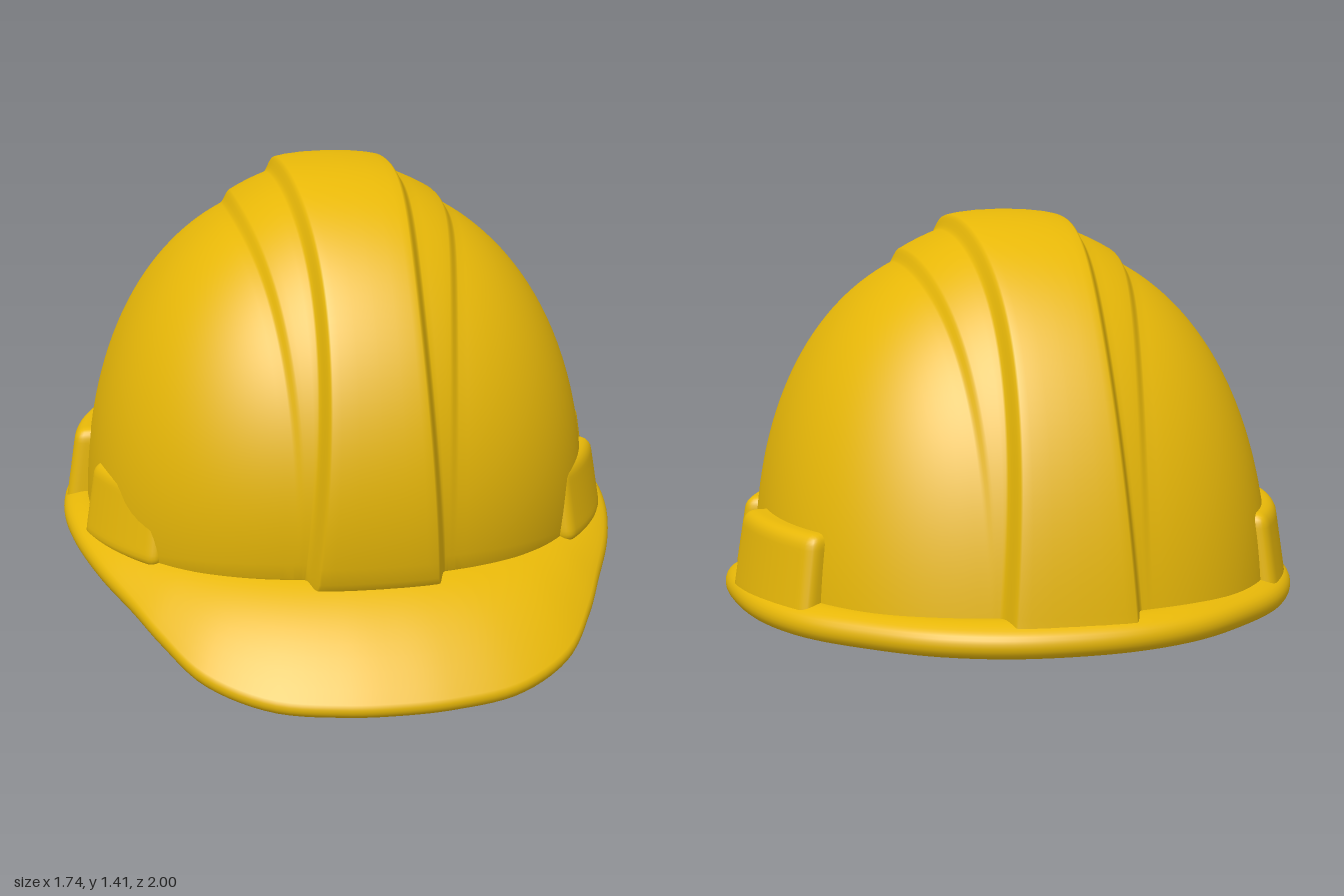
import * as THREE from 'three';
import { mergeVertices } from 'three/addons/utils/BufferGeometryUtils.js';

const { sin, cos, abs, pow, exp, min, max, sign, PI } = Math;
const lerp = THREE.MathUtils.lerp;
const CZ = -0.12; // shell centre in z

// Smooth surface from a rule giving the point at column i, row j
function grid(ni, nj, point) {
  const pos = [], idx = [];
  for (let i = 0; i <= ni; i++) for (let j = 0; j <= nj; j++) pos.push(...point(i, j));
  for (let i = 0; i < ni; i++) for (let j = 0; j < nj; j++) {
    const a = i * (nj + 1) + j, b = a + nj + 1;
    idx.push(a, b, b + 1, a, b + 1, a + 1);
  }
  let g = new THREE.BufferGeometry();
  g.setAttribute('position', new THREE.Float32BufferAttribute(pos, 3));
  g.setIndex(idx);
  g = mergeVertices(g, 1e-5);
  g.computeVertexNormals();
  return g;
}

// Half cross-section of the shell at arch angle t: [x, raise] from the centre outwards
function shellSection(t) {
  const s = max(0, sin(t));
  const edge = 0.145 + 0.04 * pow(s, 6) + 0.055 * pow(1 - s, 2); // centre ridge half width
  const ridge = 0.07 + 0.015 * s;
  const fade = pow(s, 1.2);
  const stepIn = 0.045 * fade, stepOut = 0.03 * fade;            // crescent side step
  const outer = edge + 0.03 + 0.11 * pow(s, 1.3);
  const cols = [[0, ridge], [edge * 0.4, ridge], [edge * 0.7, ridge], [edge - 0.025, ridge - 0.001]];
  for (let k = 1; k <= 6; k++) {
    const q = k / 6;
    cols.push([edge - 0.025 + 0.035 * q, lerp(ridge, stepIn, q * q * (3 - 2 * q))]);
  }
  for (const q of [0.25, 0.5, 0.75]) cols.push([lerp(edge + 0.01, outer - 0.015, q), lerp(stepIn, stepOut, q)]);
  for (let k = 0; k <= 5; k++) {
    const q = k / 5;
    cols.push([outer - 0.015 + 0.03 * q, stepOut * (1 - q * q * (3 - 2 * q))]);
  }
  const last = outer + 0.015;
  for (let k = 1; k <= 30; k++) cols.push([last + (0.785 - last) * sin((k / 30) * PI / 2), 0]);
  return cols;
}

function shellGeometry() {
  const NT = 90, half = shellSection(1).length - 1, NX = 2.28, NA = 2.27;
  const sections = [];
  for (let i = 0; i <= NT; i++) sections.push(shellSection((i / NT) * PI));
  return grid(NT, half * 2, (i, j) => {
    const t = PI * (1 - i / NT);
    const [x, raise] = sections[i][abs(j - half)];
    const k = pow(max(0, 1 - pow(x / 0.785, NX)), 1 / NX);
    const S = pow(max(0, sin(t)), 2 / NA);
    const C = sign(cos(t)) * pow(abs(cos(t)), 2 / NA);
    const y = (1.08 + raise) * k * S;
    const reach = 0.81 + raise - 0.03 * pow(1 - S, 4); // tucks in at the foot
    const lean = 0.07 * (1 - exp(-2.5 * y));
    return [sign(j - half) * x - 0.01, max(0.285, 0.25 + y), CZ + lean + reach * k * C];
  });
}

// Brim edge, back to front on the left side, then mirrored
const edgeHalf = [
  [0, 0.29, -1], [0.2, 0.29, -0.98], [0.39, 0.29, -0.91], [0.56, 0.29, -0.79], [0.72, 0.29, -0.63],
  [0.825, 0.29, -0.42], [0.87, 0.288, -0.15], [0.855, 0.272, 0.08], [0.795, 0.237, 0.31],
  [0.71, 0.192, 0.51], [0.645, 0.148, 0.65], [0.535, 0.082, 0.82], [0.36, 0.04, 0.94],
  [0.16, 0.03, 0.99], [0, 0.028, 1],
];
const edgePoints = [...edgeHalf, ...edgeHalf.slice(1, -1).reverse().map(([x, y, z]) => [-x, y, z])];
const edgeCurve = new THREE.CatmullRomCurve3(edgePoints.map(p => new THREE.Vector3(...p)), true);
const NB = 160;
const rim = i => {
  const p = edgeCurve.getPoint((i % NB) / NB);
  const l = Math.hypot(p.x, p.z - CZ);
  return { p, l, dx: p.x / l, dz: (p.z - CZ) / l };
};
// Radius of the closing panel, longer towards the front
const panelRadius = dz => 0.77 + 0.06 * pow(max(0, dz), 2);

function brimGeometry() {
  const TOP = 12, LIP = 12, LOW = 8, inner = 0.75;
  return grid(NB, TOP + LIP + LOW, (i, j) => {
    const { p, l, dx, dz } = rim(i);
    const r = lerp(0.028, 0.042, min(1, max(0, (p.y - 0.03) / 0.2)));
    const core = l - r, w = (core - inner) / 0.33;
    const yTop = 0.325 - 0.015 * dz, bulge = 0.2 * w;
    // the lip is tilted so that it continues the slope of the upper face
    const tilt = max(-1, min(0, Math.atan2(p.y + r - yTop - bulge, core - inner)));
    const lip = a => [core + r * cos(a + tilt), p.y + r * sin(a + tilt)];
    let d, y;
    if (j < TOP) {                       // upper face, gently arched
      const s = j / TOP, [d1, y1] = lip(PI / 2);
      d = lerp(inner, d1, s);
      y = lerp(yTop, y1, s) + bulge * s * (1 - s);
    } else if (j <= TOP + LIP) {         // rounded lip
      [d, y] = lip(PI / 2 - ((j - TOP) / LIP) * PI);
    } else {                             // underside
      const s = (j - TOP - LIP) / LOW, [d0, y0] = lip(-PI / 2);
      d = lerp(d0, panelRadius(dz), s);
      y = lerp(y0, 0.27, s) + 0.12 * w * s * (1 - s);
    }
    return [dx * d, y, CZ + dz * d];
  });
}

// Closing panel beneath the shell
const panelGeometry = () => grid(NB, 1, (i, j) => {
  const { dx, dz } = rim(i);
  const d = j ? 0 : panelRadius(dz) + 0.003;
  return [dx * d, 0.27, CZ + dz * d];
});

// Narrow strip under the back of the ridge
const stripGeometry = () => grid(16, 1, (i, j) => {
  const a = lerp(-0.28, 0.28, i / 16);
  const d = j ? 0.77 : 0.82;
  return [d * sin(a), 0.252, CZ - d * cos(a)];
});

// Rounded block bent around the shell between two angles
function socketGeometry(a0, a1, top, R) {
  const bottom = 0.28, h = top - bottom, depth = 0.17, r = 0.035;
  const size = new THREE.Vector3(depth, h, (a1 - a0) * R);
  let g = new THREE.BoxGeometry(size.x, size.y, size.z, 14, 18, 28);
  g.deleteAttribute('uv');
  g.deleteAttribute('normal');
  g = mergeVertices(g, 1e-5);
  const pos = g.attributes.position, v = new THREE.Vector3();
  const hi = size.clone().multiplyScalar(0.5).subScalar(r), lo = hi.clone().negate();
  for (let i = 0; i < pos.count; i++) {
    v.fromBufferAttribute(pos, i);
    const core = v.clone().clamp(lo, hi);
    v.sub(core).normalize().multiplyScalar(r).add(core);
    const a = (a0 + a1) / 2 + v.z / R;
    const d = R - depth / 2 + v.x - 0.04 * (v.y / h + 0.5); // leans in towards the top
    pos.setXYZ(i, d * cos(a), bottom + h / 2 + v.y, CZ + d * sin(a));
  }
  g.computeVertexNormals();
  return g;
}

export function createModel() {
  const yellow = new THREE.MeshStandardMaterial({ color: 0xe8b808, side: THREE.DoubleSide });
  yellow.name = 'safety yellow';
  const grey = new THREE.MeshStandardMaterial({ color: 0xb4b4bc, side: THREE.DoubleSide });
  grey.name = 'light grey';
  const model = new THREE.Group();
  model.name = 'hardHat';
  const add = (name, geometry, material = yellow) => {
    const mesh = new THREE.Mesh(geometry, material);
    mesh.name = name;
    model.add(mesh);
  };
  add('ridgedShell', shellGeometry());
  add('brim', brimGeometry());
  add('undersidePanel', panelGeometry());
  add('backStrip', stripGeometry(), grey);

  // Accessory sockets on both sides
  const sockets = [['FrontSocket', 0.27, 0.735, 0.52, 0.86], ['RearSocket', -0.62, -0.04, 0.54, 0.865]];
  for (const [name, a0, a1, top, R] of sockets) {
    add('left' + name, socketGeometry(a0, a1, top, R));
    add('right' + name, socketGeometry(PI - a1, PI - a0, top, R));
  }
  return model;
}
